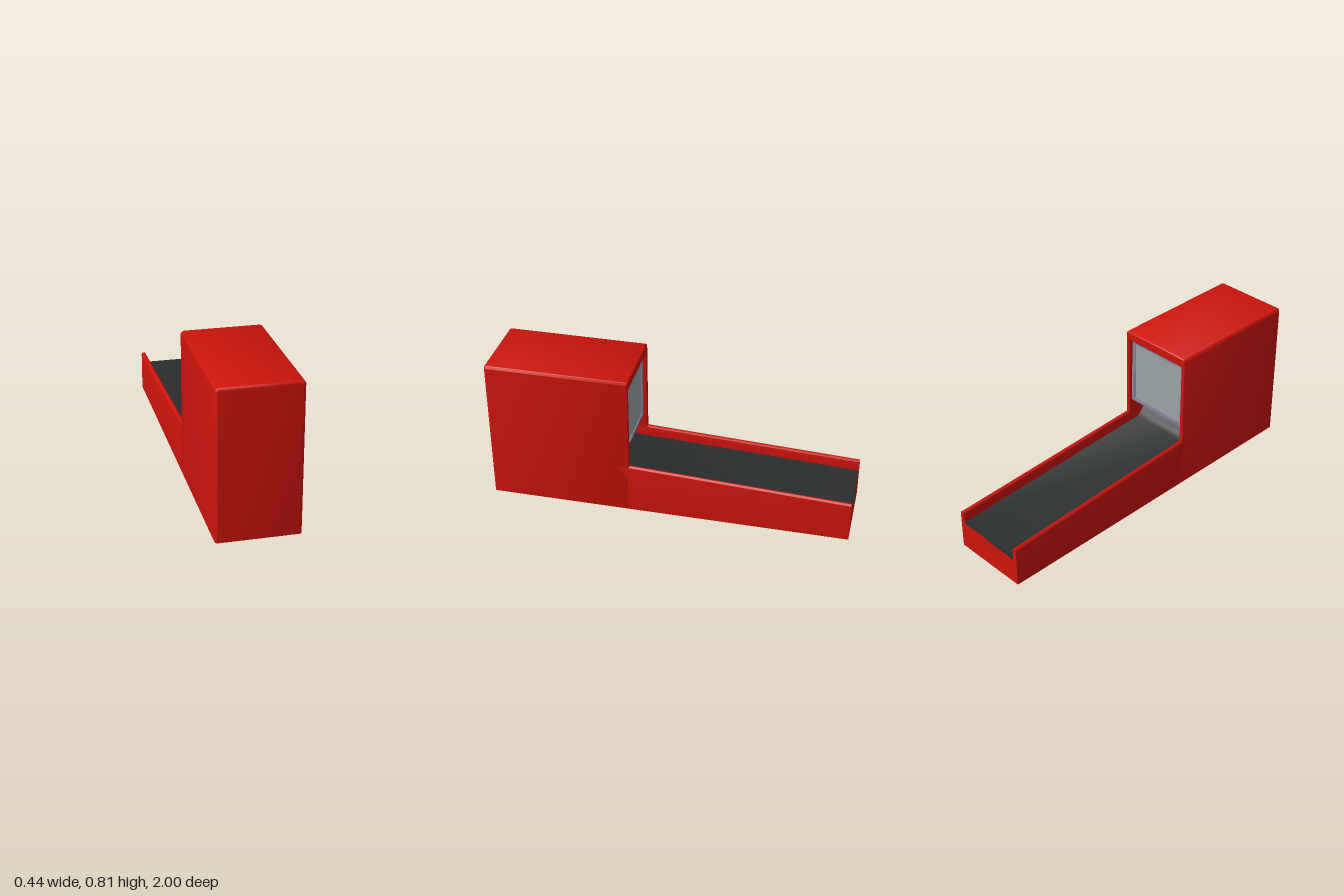
import * as THREE from 'three';
import { toCreasedNormals } from 'three/addons/utils/BufferGeometryUtils.js';

const RED = 0xcc140c, DARK = 0x2b2e2f, GLASS = 0x9ba4a9, FRAME = 0x85879a;
const HALF = 0.22, INNER = 0.195, SLOPE = 0.0455;

const material = (color) => new THREE.MeshStandardMaterial({ color });
const paint = { red: material(RED), dark: material(DARK), glass: material(GLASS), frame: material(FRAME) };

function addPart(group, name, geometry, mat) {
  const mesh = new THREE.Mesh(toCreasedNormals(geometry, 0.7), mat);
  mesh.name = name;
  group.add(mesh);
}

// Move each vertex height by a rule of (y, z)
function reshapeY(geometry, rule) {
  const p = geometry.attributes.position;
  for (let i = 0; i < p.count; i++) p.setY(i, rule(p.getY(i), p.getZ(i)));
  return geometry;
}

function rect(target, w, y0, y1) {
  target.moveTo(-w, y0).lineTo(w, y0).lineTo(w, y1).lineTo(-w, y1).closePath();
  return target;
}

// Upright outline with two rounded top corners
function arch(w, top, r) {
  const s = new THREE.Shape();
  s.moveTo(-w, 0).lineTo(w, 0).lineTo(w, top - r);
  s.absarc(w - r, top - r, r, 0, Math.PI / 2, false);
  s.lineTo(-w + r, top);
  s.absarc(-w + r, top - r, r, Math.PI / 2, Math.PI, false);
  s.closePath();
  return s;
}

// Extrude between two z positions with rounded rims and a flat foot at y = 0
function bevelled(shape, z0, z1, b) {
  const g = new THREE.ExtrudeGeometry(shape, {
    depth: z1 - z0 - 2 * b, bevelEnabled: true, bevelSize: b, bevelThickness: b,
    bevelSegments: 4, curveSegments: 6,
  });
  g.translate(0, 0, z0 + b);
  return reshapeY(g, (y) => Math.max(0, y));
}

// Extrude a (z, y) side profile across the inner width
function across(points) {
  const shape = new THREE.Shape(points.map(([z, y]) => new THREE.Vector2(z, y)));
  const g = new THREE.ExtrudeGeometry(shape, { depth: 2 * INNER, bevelEnabled: false });
  return g.rotateY(-Math.PI / 2).translate(INNER, 0, 0);
}

export function createModel() {
  const model = new THREE.Group();
  model.name = 'rollingLaneGame';

  // Sloping trough: base and two round-topped rails in one cross-section
  const railTop = 0.23, bedTop = 0.162, r = (HALF - INNER) / 2;
  const trough = new THREE.Shape();
  trough.moveTo(-HALF, 0).lineTo(HALF, 0).lineTo(HALF, railTop - r);
  trough.absarc(HALF - r, railTop - r, r, 0, Math.PI, false);
  trough.lineTo(INNER, bedTop).lineTo(-INNER, bedTop).lineTo(-INNER, railTop - r);
  trough.absarc(-HALF + r, railTop - r, r, 0, Math.PI, false);
  trough.closePath();
  const troughGeo = new THREE.ExtrudeGeometry(trough, { depth: 1.3, bevelEnabled: false, curveSegments: 10 });
  troughGeo.translate(0, 0, -1);
  reshapeY(troughGeo, (y, z) => (y > 0.01 ? y + SLOPE * (z + 1) : y));
  addPart(model, 'laneBaseAndRails', troughGeo, paint.red);

  // Hollow housing, open toward the lane
  const b = 0.008;
  const shell = arch(HALF - b, 0.815 - b, 0.012);
  shell.holes.push(rect(new THREE.Path(), INNER + b, 0.1 - b, 0.76 + b));
  addPart(model, 'housingShell', bevelled(shell, 0.21, 0.985, b), paint.red);

  // Solid front wall of the housing
  const fb = 0.014;
  addPart(model, 'housingFront', bevelled(arch(HALF - fb, 0.815 - fb, 0.006), 0.92, 1, fb), paint.red);

  // Dark running surface with a kick-up at its far end
  addPart(model, 'laneSurface', across([
    [-1, 0.15], [0.36, 0.15], [0.36, 0.285], [0.335, 0.283], [0.315, 0.262],
    [0.3, 0.24], [0.275, 0.224], [-1, 0.166],
  ]), paint.dark);

  // Inclined target board inside the housing
  addPart(model, 'targetBoard', across([
    [0.36, 0.1], [0.93, 0.1], [0.93, 0.52], [0.45, 0.22], [0.36, 0.2],
  ]), paint.dark);

  // Framed window over the opening
  const y0 = 0.36, y1 = 0.755, bar = 0.02;
  const frame = rect(new THREE.Shape(), INNER, y0, y1);
  frame.holes.push(rect(new THREE.Path(), INNER - bar, y0 + bar, y1 - bar));
  const frameGeo = new THREE.ExtrudeGeometry(frame, { depth: 0.02, bevelEnabled: false });
  addPart(model, 'windowFrame', frameGeo.translate(0, 0, 0.232), paint.frame);
  const pane = new THREE.BoxGeometry(2 * (INNER - bar), y1 - y0 - 2 * bar, 0.008);
  addPart(model, 'windowPane', pane.translate(0, (y0 + y1) / 2, 0.242), paint.glass);

  return model;
}
